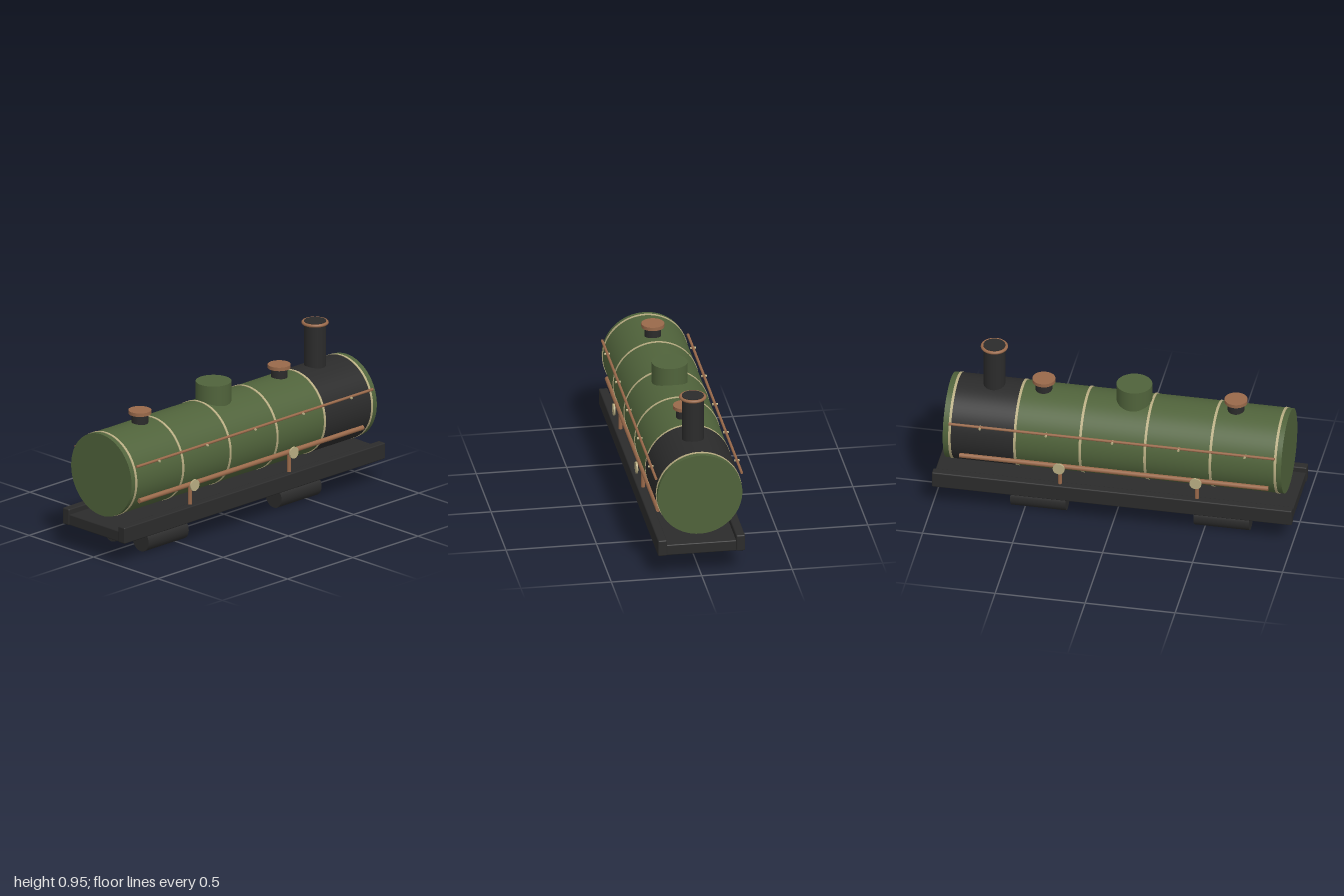
import * as THREE from 'three';
import { RoundedBoxGeometry } from 'three/addons/geometries/RoundedBoxGeometry.js';

const material = (name, color) => {
  const m = new THREE.MeshStandardMaterial({ color });
  m.name = name;
  return m;
};

export function createModel() {
  const model = new THREE.Group();
  model.name = 'locomotive';
  const green = material('boiler green', 0x50633b);
  const black = material('iron black', 0x2b2b2b);
  const copper = material('copper', 0x99694a);
  const cream = material('pale brass', 0xb8ad82);

  const add = (name, geometry, mat, x, y, z) => {
    const mesh = new THREE.Mesh(geometry, mat);
    mesh.name = name;
    mesh.position.set(x, y, z);
    model.add(mesh);
    return mesh;
  };
  // Cylinder lying along x between two ends
  const alongX = (name, r, x0, x1, y, z, mat, sides = 32) =>
    add(name, new THREE.CylinderGeometry(r, r, x1 - x0, sides).rotateZ(-Math.PI / 2), mat, (x0 + x1) / 2, y, z);
  // Upright cylinder between two heights
  const upright = (name, r, y0, y1, x, z, mat, sides = 32) =>
    add(name, new THREE.CylinderGeometry(r, r, y1 - y0, sides), mat, x, (y0 + y1) / 2, z);
  // Cylinder along z, centred on z
  const alongZ = (name, r, length, x, y, z, mat) =>
    add(name, new THREE.CylinderGeometry(r, r, length, 20).rotateX(Math.PI / 2), mat, x, y, z);

  // Boiler, smokebox and bands
  const axisY = 0.46;
  alongX('boiler', 0.2345, -0.94, 0.94, axisY, 0, green, 64);
  alongX('smokebox', 0.2358, 0.545, 0.9, axisY, 0, black, 64);
  for (const x of [-0.905, -0.545, -0.182, 0.178, 0.541, 0.902])
    alongX('boilerBand', 0.2375, x - 0.007, x + 0.007, axisY, 0, cream, 64);

  // Chimney with rounded lip
  upright('chimney', 0.06, 0.66, 0.948, 0.698, 0, black);
  add('chimneyLip', new THREE.TorusGeometry(0.066, 0.009, 12, 40).rotateX(Math.PI / 2), copper, 0.698, 0.938, 0);

  // Steam dome
  upright('steamDome', 0.098, 0.64, 0.792, -0.08, 0, green, 40);

  // Capped valves
  for (const x of [-0.645, 0.423]) {
    upright('valveBase', 0.046, 0.66, 0.745, x, 0, black);
    upright('valveCap', 0.063, 0.744, 0.764, x, 0, copper);
  }

  // Chassis floor
  add('chassisFloor', new RoundedBoxGeometry(1.99, 0.062, 0.39, 2, 0.006), black, 0, 0.165, 0);

  for (const s of [1, -1]) {
    // Chassis side beam
    add('sideBeam', new RoundedBoxGeometry(2, 0.093, 0.05, 2, 0.007), black, 0, 0.18, s * 0.216);

    // Upper handrail with pins
    alongX('upperRail', 0.0075, -0.905, 0.905, 0.557, s * 0.237, copper, 12);
    for (let i = 0; i < 5; i++)
      alongZ('railPin', 0.0065, 0.03, -0.74 + i * 0.368, 0.553, s * 0.238, cream);

    // Lower pipe with posts and discs
    alongX('lowerPipe', 0.0135, -0.865, 0.85, 0.345, s * 0.216, copper, 16);
    for (const x of [-0.467, 0.293]) {
      upright('pipePost', 0.011, 0.2, 0.345, x, s * 0.208, copper, 16);
      alongZ('pipeDisc', 0.033, 0.01, x, 0.345, s * 0.245, cream);
    }

    // Rollers under the chassis
    for (const x of [-0.596, 0.4225])
      alongX('roller', 0.0615, x - 0.154, x + 0.154, 0.0615, s * 0.113, black);
  }
  return model;
}
